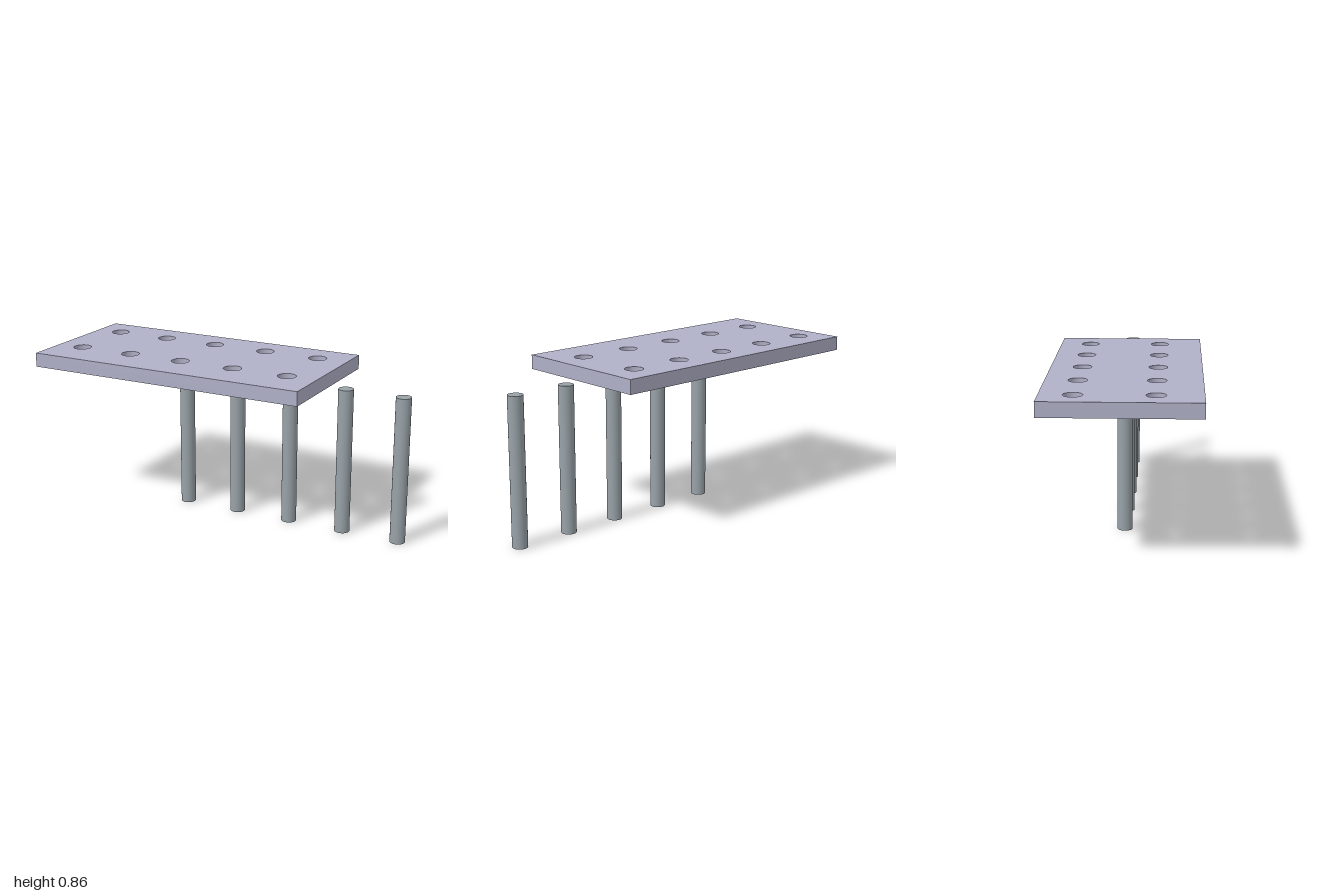
import * as THREE from 'three';

export function createModel() {
  const model = new THREE.Group();
  const plateMaterial = new THREE.MeshStandardMaterial({ color: 0xb0b0c8 });
  const postMaterial = new THREE.MeshStandardMaterial({ color: 0x98a2a8 });
  const count = 5, pitch = 0.311;
  const postHeight = 0.78, plateThickness = 0.076;

  // Flat plate with two rows of round through holes (shape y becomes -z)
  const outline = new THREE.Shape();
  outline.moveTo(-1, -0.39);
  outline.lineTo(0.556, -0.39);
  outline.lineTo(0.556, 0.39);
  outline.lineTo(-1, 0.39);
  outline.closePath();
  const rows = [{ x: -0.857, z: -0.226 }, { x: -0.852, z: 0.163 }];
  for (const row of rows) {
    for (let i = 0; i < count; i++) {
      const hole = new THREE.Path();
      hole.absarc(row.x + i * pitch, -row.z, 0.048, 0, Math.PI * 2, true);
      outline.holes.push(hole);
    }
  }
  const plateGeometry = new THREE.ExtrudeGeometry(outline, {
    depth: plateThickness, bevelEnabled: false, curveSegments: 32,
  });
  plateGeometry.rotateX(-Math.PI / 2);
  const plate = new THREE.Mesh(plateGeometry, plateMaterial);
  plate.name = 'perforatedPlate';
  plate.position.y = postHeight;
  model.add(plate);

  // Row of round posts, running out past the plate's end
  const postGeometry = new THREE.CylinderGeometry(0.04, 0.04, postHeight, 40);
  for (let i = 0; i < count; i++) {
    const post = new THREE.Mesh(postGeometry, postMaterial);
    post.name = `post${i + 1}`;
    post.position.set(-0.287 + i * pitch, postHeight / 2, -0.006);
    model.add(post);
  }
  return model;
}
